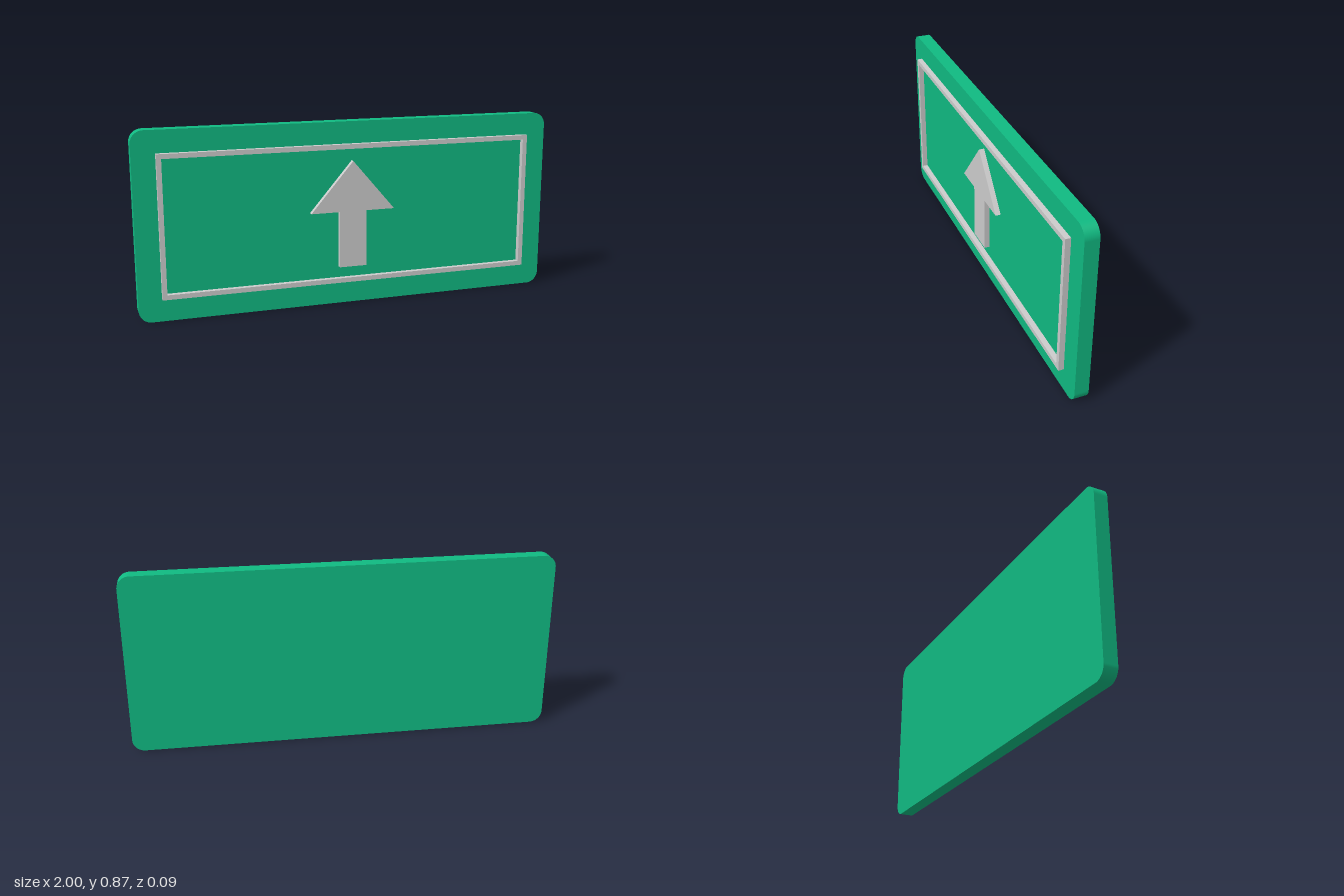
import * as THREE from 'three';

const BACK = -0.045, FACE = 0.02, FRONT = 0.045;

// Closed straight-edged outline from corner points
const outline = (points) => new THREE.Shape(points.map(([x, y]) => new THREE.Vector2(x, y)));
const rectPoints = (halfW, y0, y1) => [[-halfW, y0], [halfW, y0], [halfW, y1], [-halfW, y1]];

function roundedRect(halfW, height, r) {
  const s = new THREE.Shape();
  s.absarc(halfW - r, r, r, -Math.PI / 2, 0);
  s.absarc(halfW - r, height - r, r, 0, Math.PI / 2);
  s.absarc(r - halfW, height - r, r, Math.PI / 2, Math.PI);
  s.absarc(r - halfW, r, r, Math.PI, Math.PI * 1.5);
  s.closePath();
  return s;
}

function plate(name, shape, z0, z1, material) {
  const geometry = new THREE.ExtrudeGeometry(shape, { depth: z1 - z0, bevelEnabled: false, curveSegments: 12 });
  geometry.translate(0, 0, z0);
  const mesh = new THREE.Mesh(geometry, material);
  mesh.name = name;
  return mesh;
}

export function createModel() {
  const group = new THREE.Group();
  group.name = 'directionSign';
  const green = new THREE.MeshStandardMaterial({ color: 0x10b981 });
  const grey = new THREE.MeshStandardMaterial({ color: 0xcccccc });

  // Rounded backing panel
  group.add(plate('signPanel', roundedRect(1, 0.868, 0.058), BACK, FACE, green));

  // Thin raised border
  const border = outline(rectPoints(0.895, 0.106, 0.765));
  border.holes.push(outline(rectPoints(0.873, 0.128, 0.743)));
  group.add(plate('border', border, FACE, FRONT, grey));

  // Raised arrow pointing up
  const arrow = outline([
    [-0.066, 0.182], [0.066, 0.182], [0.066, 0.449], [0.203, 0.449],
    [0, 0.686], [-0.203, 0.449], [-0.066, 0.449],
  ]);
  group.add(plate('arrow', arrow, FACE, FRONT, grey));

  return group;
}
